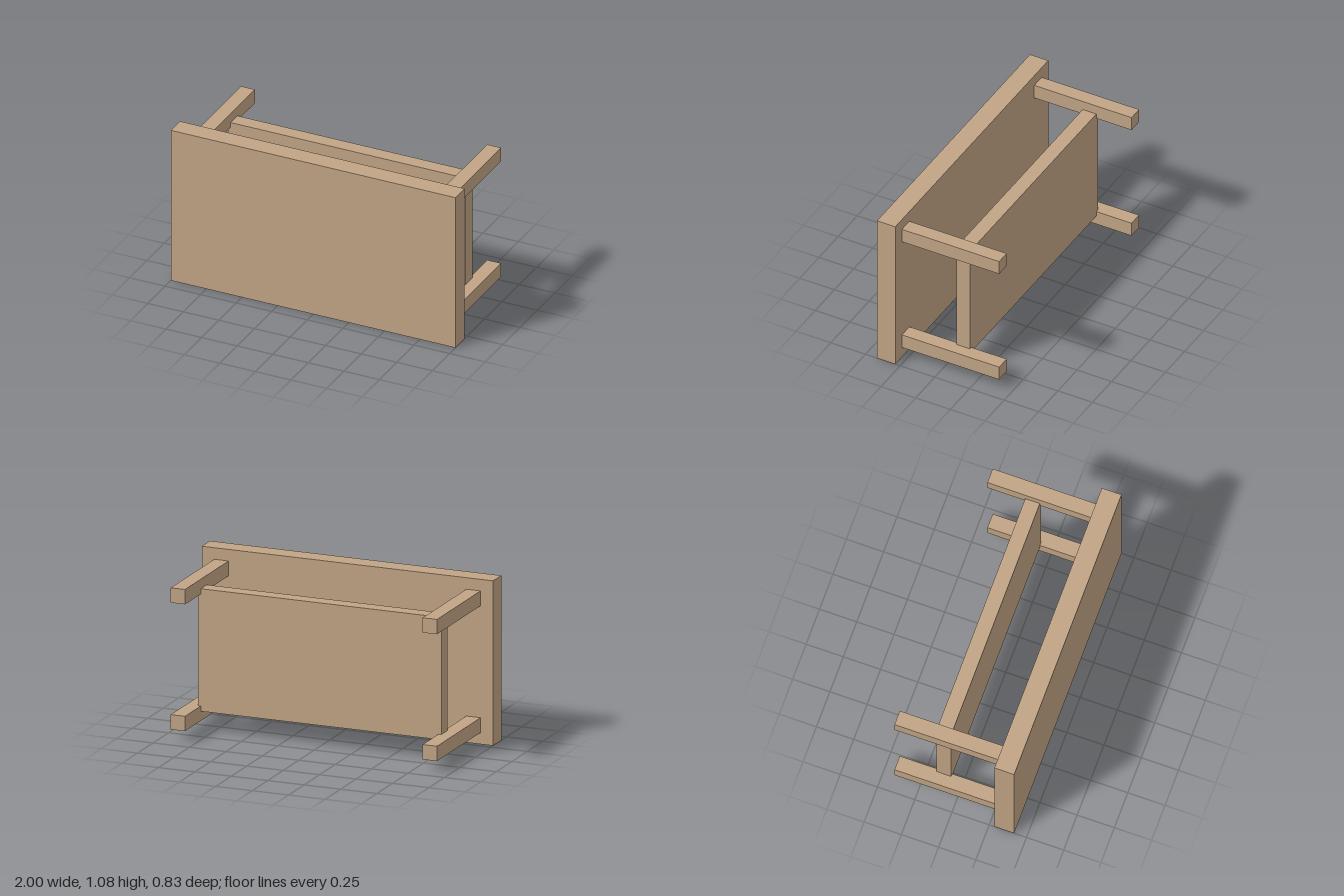
import * as THREE from 'three';

// Low table resting on its long edge: top faces +z, legs point to -z
export function createModel() {
  const group = new THREE.Group();
  const wood = new THREE.MeshStandardMaterial({ color: 0xc1a485 });
  wood.name = 'light wood';

  const addBox = (name, [w, h, d], [x, y, z]) => {
    const mesh = new THREE.Mesh(new THREE.BoxGeometry(w, h, d), wood);
    mesh.name = name;
    mesh.position.set(x, y, z);
    group.add(mesh);
  };

  const height = 1.084, midY = height / 2;
  const halfDepth = 0.417, topThickness = 0.132;
  const legSize = 0.098, legLength = 2 * halfDepth - topThickness;

  // Table top
  addBox('tableTop', [2, height, topThickness], [0, midY, halfDepth - topThickness / 2]);

  // Shelf, its corners let into the legs
  addBox('shelf', [1.67, 0.806, 0.098], [0, midY, -0.114]);

  // Four legs
  for (const sx of [-1, 1]) {
    for (const sy of [-1, 1]) {
      const name = (sy > 0 ? 'upper' : 'lower') + (sx > 0 ? 'Left' : 'Right') + 'Leg';
      addBox(name, [legSize, legSize, legLength],
        [sx * 0.865, midY + sy * 0.417, -halfDepth + legLength / 2]);
    }
  }
  return group;
}
